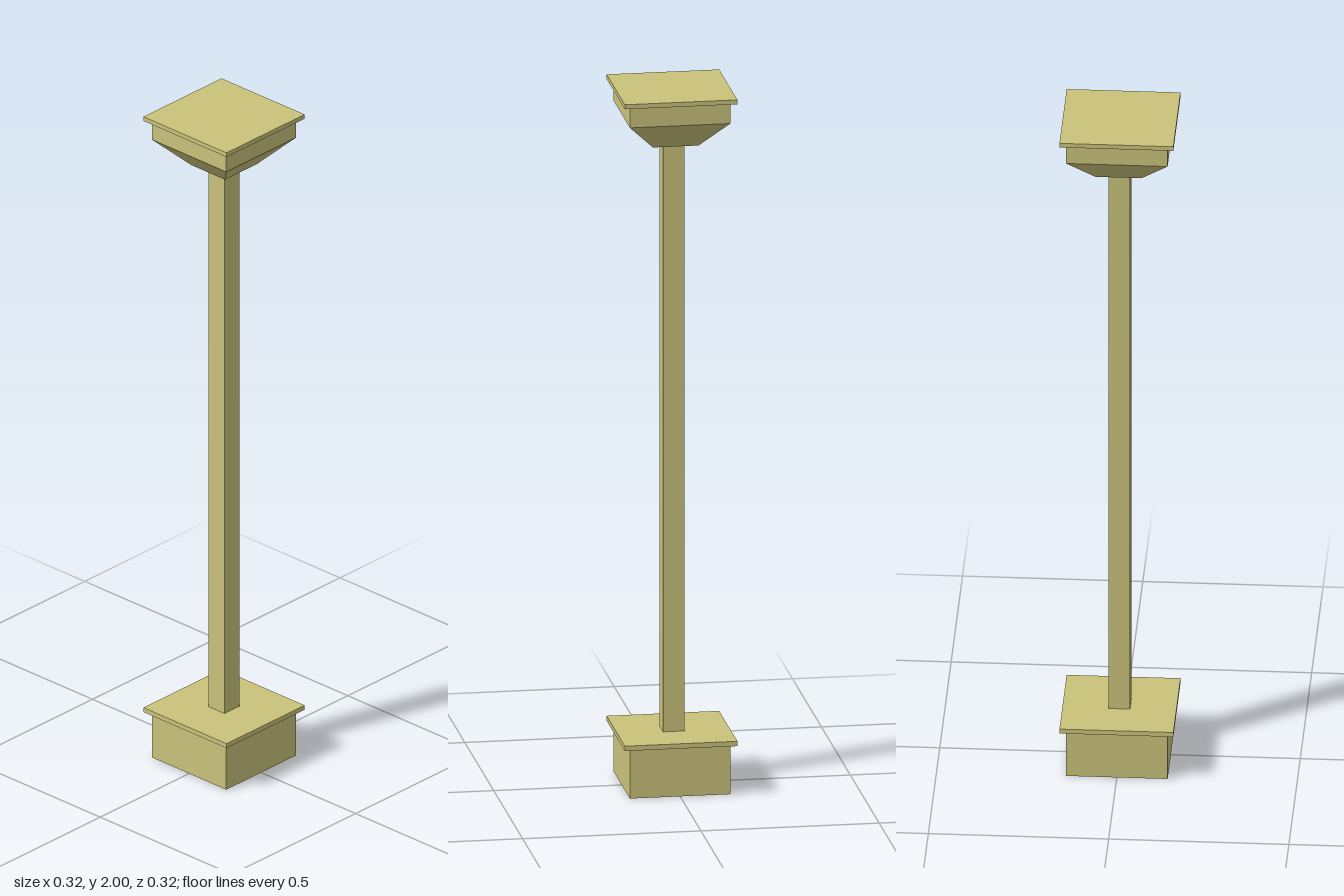
import * as THREE from 'three';

export function createModel() {
  const model = new THREE.Group();
  model.name = 'column';
  const sandstone = new THREE.MeshStandardMaterial({ color: 0xcac37b, flatShading: true });
  sandstone.name = 'sandstone';

  // Square block from y0 to y1, with its own half width at bottom and top
  function squarePart(name, y0, y1, bottomHalf, topHalf = bottomHalf) {
    const geometry = new THREE.BoxGeometry(2, y1 - y0, 2);
    const pos = geometry.attributes.position;
    for (let i = 0; i < pos.count; i++) {
      const half = pos.getY(i) > 0 ? topHalf : bottomHalf;
      pos.setX(i, pos.getX(i) * half);
      pos.setZ(i, pos.getZ(i) * half);
    }
    geometry.computeVertexNormals();
    const mesh = new THREE.Mesh(geometry, sandstone);
    mesh.name = name;
    mesh.position.y = (y0 + y1) / 2;
    model.add(mesh);
  }

  // Plinth and its overhanging slab
  squarePart('plinth', 0, 0.142, 0.141);
  squarePart('plinthSlab', 0.142, 0.156, 0.158);

  // Slender shaft
  squarePart('shaft', 0.156, 1.847, 0.03);

  // Flared capital, block and top slab
  squarePart('capitalFlare', 1.847, 1.928, 0.064, 0.141);
  squarePart('capitalBlock', 1.928, 1.987, 0.141);
  squarePart('topSlab', 1.987, 2, 0.158);

  return model;
}
